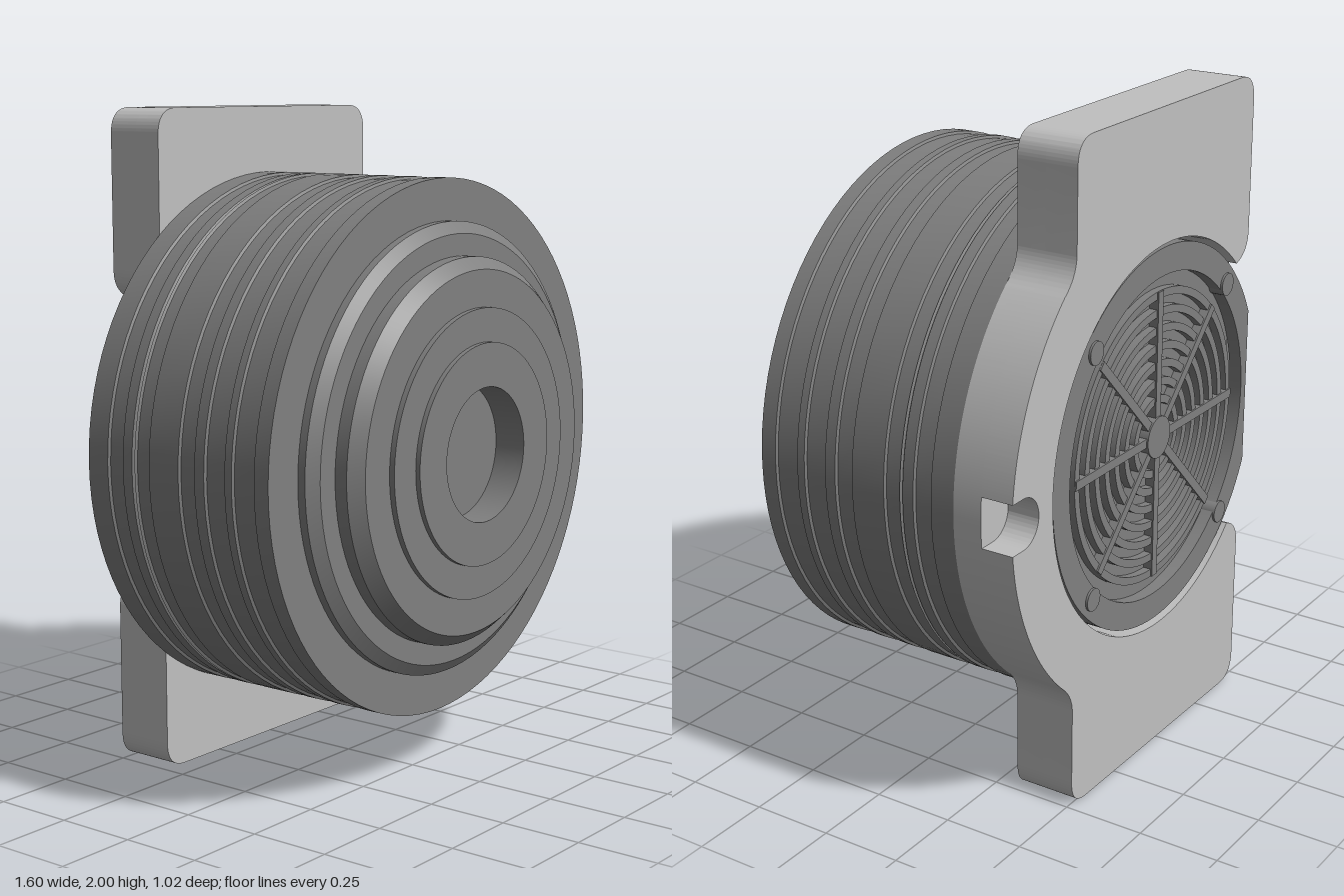
import * as THREE from 'three';
import { toCreasedNormals } from 'three/addons/utils/BufferGeometryUtils.js';

export function createModel() {
  const root = new THREE.Group();
  const axis = new THREE.Group(); // everything is laid out around the z axis
  axis.name = 'assembly';
  axis.position.y = 1;
  root.add(axis);

  const dark = new THREE.MeshStandardMaterial({ color: 0x808080 });
  dark.name = 'dark grey';
  const light = new THREE.MeshStandardMaterial({ color: 0xc0c0c0 });
  light.name = 'light grey';

  const add = (name, geometry, material, parent = axis) => {
    const mesh = new THREE.Mesh(geometry, material);
    mesh.name = name;
    parent.add(mesh);
    return mesh;
  };
  const slab = (shape, z0, z1) => {
    const g = new THREE.ExtrudeGeometry(shape, { depth: z1 - z0, bevelEnabled: false, curveSegments: 64 });
    g.translate(0, 0, z0);
    return toCreasedNormals(g, 0.5);
  };
  const circleHole = (r) => new THREE.Path().absarc(0, 0, r, 0, Math.PI * 2, true);

  // Drum: grooved side, stepped and chamfered front, round socket in the middle
  const R = 0.8, G = 0.792;
  const profile = [[0, -0.32], [R, -0.32]];
  const grooves = [[-0.245, -0.185], [-0.15, -0.14], [-0.14, -0.085], [0.025, 0.085],
    [0.12, 0.195], [0.22, 0.3]];
  for (const [a, b] of grooves) profile.push([R, a], [G, a + 0.004], [G, b - 0.004], [R, b]);
  profile.push([R, 0.35], [0.675, 0.35], [0.675, 0.375], [0.64, 0.4], [0.575, 0.4], [0.575, 0.44],
    [0.54, 0.478], [0.43, 0.478], [0.43, 0.495], [0.33, 0.495], [0.33, 0.51],
    [0.2, 0.51], [0.2, 0.41], [0, 0.41]);
  const drum = new THREE.LatheGeometry(profile.map(([x, y]) => new THREE.Vector2(x, y)), 96);
  drum.rotateX(Math.PI / 2);
  add('drum', toCreasedNormals(drum, 0.4), dark);

  // Mounting bracket: two ears joined by a C-shaped ring, open towards -x
  const bracketShape = (notched) => {
    const s = new THREE.Shape();
    const fillet = Math.atan2(0.585, 0.545), n = Math.asin(0.075 / R);
    s.moveTo(-0.41, 1).lineTo(0.41, 1);
    s.quadraticCurveTo(0.49, 1, 0.49, 0.92).lineTo(0.49, 0.69);
    s.quadraticCurveTo(0.49, 0.63, 0.545, 0.585);
    if (notched) {
      s.absarc(0, 0, R, fillet, n, true);
      s.lineTo(0.745, 0.075);
      s.absarc(0.745, 0, 0.075, Math.PI / 2, Math.PI * 1.5, false);
      s.absarc(0, 0, R, -n, -fillet, true);
    } else s.absarc(0, 0, R, fillet, -fillet, true);
    s.quadraticCurveTo(0.49, -0.63, 0.49, -0.69).lineTo(0.49, -0.92);
    s.quadraticCurveTo(0.49, -1, 0.41, -1).lineTo(-0.41, -1);
    s.quadraticCurveTo(-0.49, -1, -0.49, -0.92).lineTo(-0.49, -0.52);
    s.quadraticCurveTo(-0.49, -0.45, -0.42, -0.43);
    const end = Math.atan2(0.43, -0.42);
    s.absarc(0, 0, 0.601, -end, end, false);
    s.quadraticCurveTo(-0.49, 0.45, -0.49, 0.52).lineTo(-0.49, 0.92);
    s.quadraticCurveTo(-0.49, 1, -0.41, 1);
    return s;
  };
  add('bracketFront', slab(bracketShape(false), -0.41, -0.32), light);
  add('bracketBack', slab(bracketShape(true), -0.51, -0.41), light);

  // Rear housing: round with one flat side, and a pocket for the connector
  const housingShape = (pocket) => {
    const a = Math.acos(-0.53 / 0.585);
    const s = new THREE.Shape();
    s.absarc(0, 0, 0.585, -a, a, false);
    if (pocket) s.lineTo(-0.53, 0.2).lineTo(-0.47, 0.2).lineTo(-0.47, -0.2).lineTo(-0.53, -0.2);
    s.closePath();
    return s;
  };
  const rim = housingShape(false);
  rim.holes.push(circleHole(0.5));
  add('housingRim', slab(rim, -0.5, -0.46), dark);
  add('housing', slab(housingShape(true), -0.46, -0.32), dark);
  const connector = add('connector', new THREE.BoxGeometry(0.11, 0.24, 0.08), dark);
  connector.position.set(-0.525, 0, -0.36);

  // Vent grille: concentric rings, spokes and a hub
  const grille = new THREE.Group();
  grille.name = 'grille';
  axis.add(grille);
  for (let i = 0; i < 7; i++) {
    const r = 0.115 + i * 0.054;
    const ring = new THREE.Shape().absarc(0, 0, r + 0.012, 0, Math.PI * 2, false);
    ring.holes.push(circleHole(r - 0.012));
    add('grilleRing', slab(ring, -0.485, -0.46), dark, grille);
  }
  for (let i = 0; i < 4; i++) {
    const spoke = add('grilleSpoke', new THREE.BoxGeometry(0.9, 0.028, 0.03), dark, grille);
    spoke.position.z = -0.475;
    spoke.rotation.z = i * Math.PI / 4;
  }
  const post = (name, r, x, y, z0, z1) => {
    const g = new THREE.CylinderGeometry(r, r, z1 - z0, 24).rotateX(Math.PI / 2);
    add(name, g, dark, grille).position.set(x, y, (z0 + z1) / 2);
  };
  post('grilleHub', 0.065, 0, 0, -0.495, -0.46);

  // Four screws on the diagonals of the rim
  for (const x of [-0.375, 0.375]) for (const y of [-0.375, 0.375]) post('screw', 0.035, x, y, -0.507, -0.46);

  return root;
}
